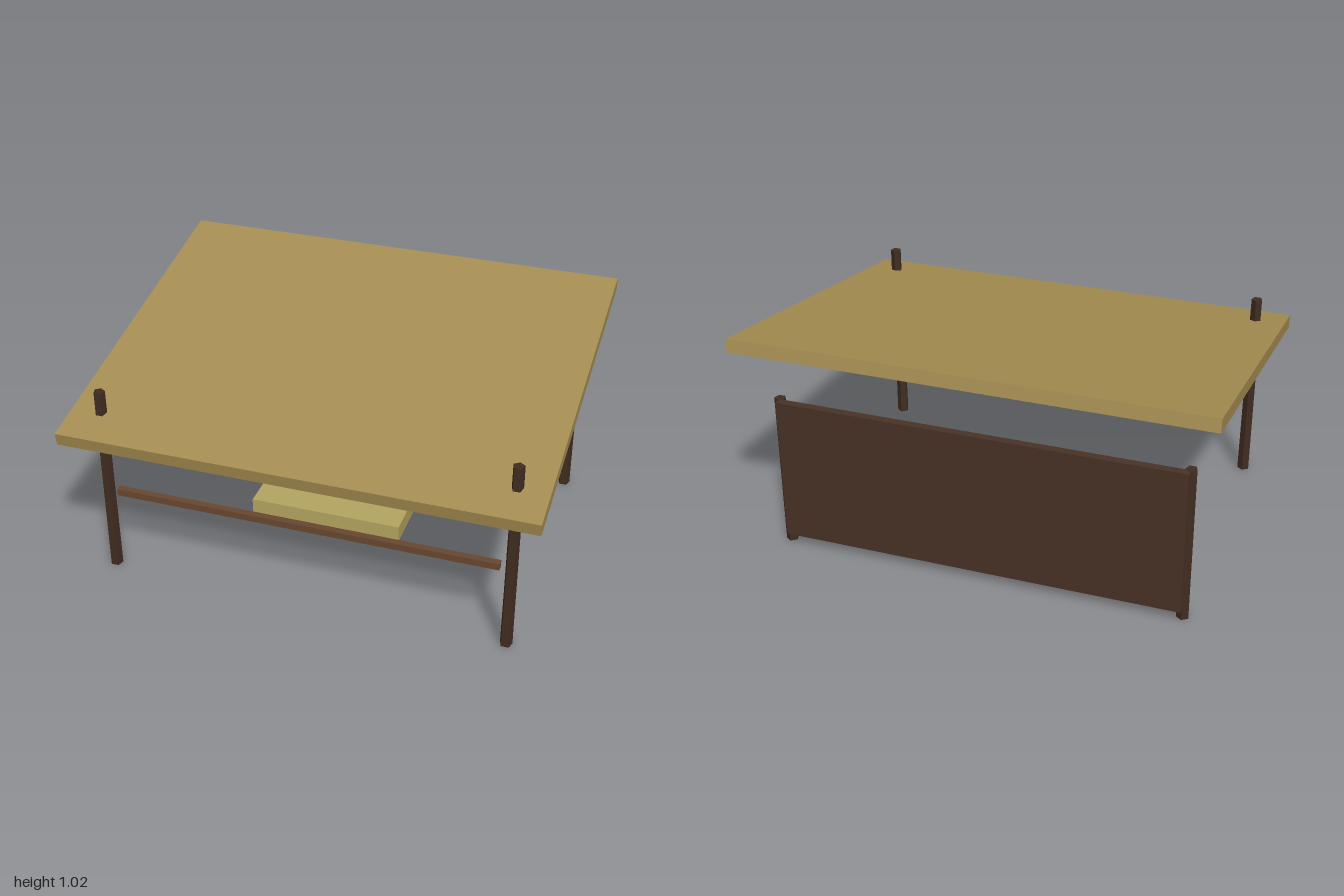
import * as THREE from 'three';

const material = (color) => new THREE.MeshStandardMaterial({ color, flatShading: true });

export function createModel() {
  const model = new THREE.Group();
  const thatch = material(0xa68e52);
  const darkWood = material(0x402c20);
  const wallWood = material(0x483226);
  const wood = material(0x684830);
  const straw = material(0xb4a460);

  const add = (name, geometry, mat, x, y, z) => {
    const mesh = new THREE.Mesh(geometry, mat);
    mesh.name = name;
    mesh.position.set(x, y, z);
    model.add(mesh);
    return mesh;
  };
  const box = (name, mat, size, pos) => add(name, new THREE.BoxGeometry(...size), mat, ...pos);

  // Sloping slab roof, low at the front
  box('roof', thatch, [2, 0.057, 1.565], [0, 0.85, 0]).rotation.x = 0.18;

  // Five-sided tapered posts; the front pair pokes through the roof
  for (const [name, z, height] of [['frontPost', 0.61, 0.87], ['backPost', -0.61, 0.695]]) {
    for (const side of [-1, 1]) {
      const post = new THREE.CylinderGeometry(0.0245, 0.027, height, 5).rotateY(Math.PI);
      add(name + (side > 0 ? 'Left' : 'Right'), post, darkWood, side * 0.87, height / 2, z);
    }
  }

  // Back wall and front rail
  box('backWall', wallWood, [1.74, 0.645, 0.035], [0, 0.371, -0.6375]);
  box('frontRail', wood, [1.65, 0.03, 0.03], [0, 0.39, 0.61]);

  // Straw bed with a crate behind it
  box('strawBed', straw, [0.695, 0.08, 0.435], [-0.0875, 0.04, -0.128]);
  box('crate', wood, [0.605, 0.13, 0.175], [-0.0025, 0.135, -0.392]);

  // Row of faceted sacks along the wall
  for (let i = 0; i < 3; i++) {
    const sack = new THREE.SphereGeometry(1, 5, 3).rotateY(-Math.PI / 2).scale(0.118, 0.07, 0.085);
    add('sack' + (i + 1), sack, straw, -0.655 + i * 0.3, 0.09, -0.477);
  }

  return model;
}
